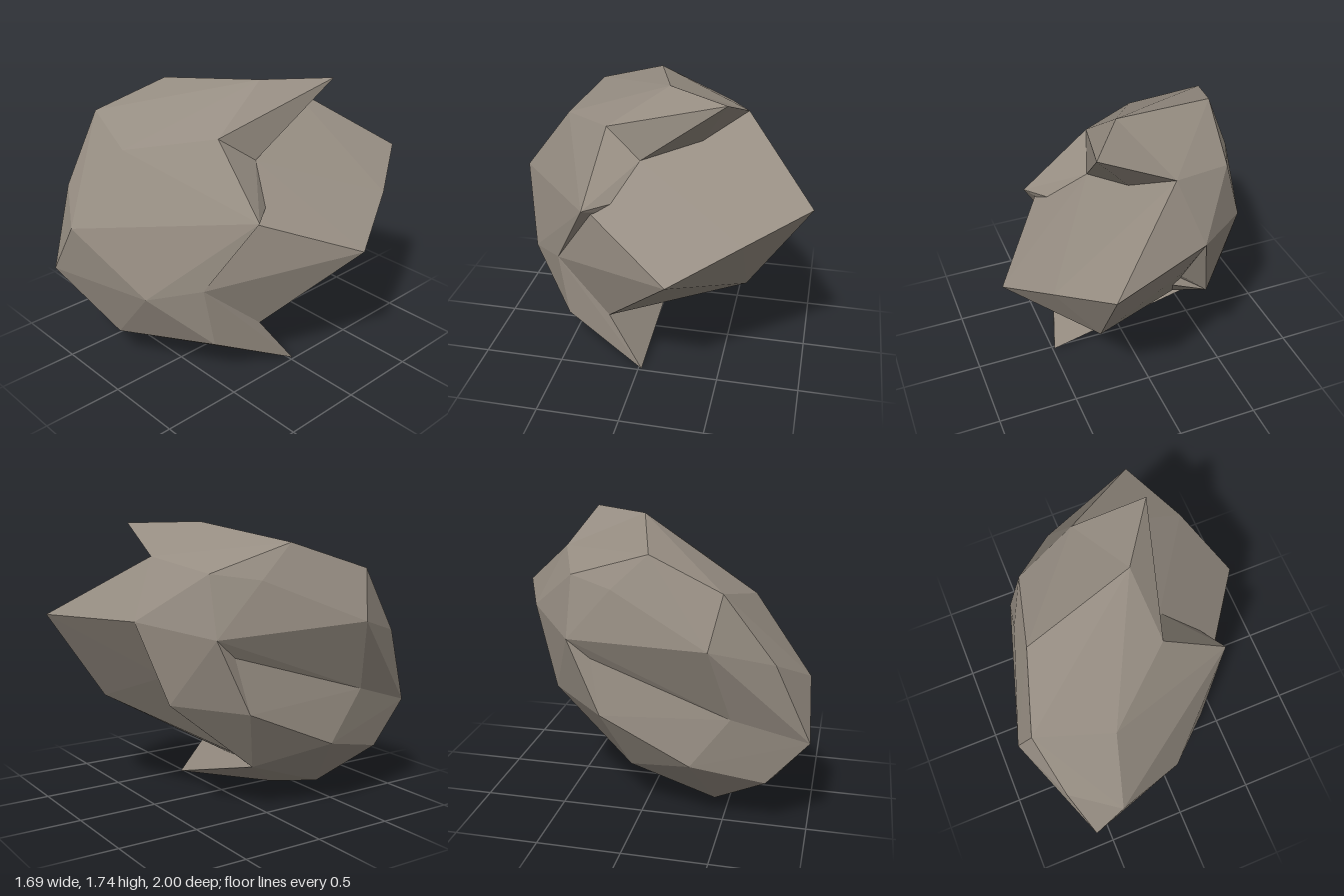
import * as THREE from 'three';
import { ConvexGeometry } from 'three/addons/geometries/ConvexGeometry.js';

// Corners of the boulder, from the crown down to the foot
const corners = {
  peak: [0.07, 1.735, -0.11], brow: [0.12, 1.47, 0.27], crownLeft: [-0.61, 1.635, 0.075],
  shoulder: [-0.76, 1.48, 0.515], cheek: [-0.85, 1.18, 0.45], cheekFront: [-0.69, 1.08, 0.8],
  faceTop: [-0.315, 1.375, 0.64], faceMid: [-0.41, 0.935, 0.975], faceSide: [0.527, 1.09, 0.325],
  notchIn: [0.2, 1.3, 0.045], notchBack: [0.06, 1.39, -0.3], crownBack: [-0.11, 1.55, -0.56],
  backUpper: [-0.225, 1.195, -0.735], backLeft: [-0.595, 1.11, -0.42], backDent: [-0.57, 1.02, -0.29],
  backLeftTop: [-0.5, 1.47, -0.41], leftTop: [-0.63, 1.43, -0.14], hornTip: [0.325, 1.727, -0.483],
  nose: [-0.6, 0.6, 1], frontMid: [0.04, 0.56, 0.785], frontRight: [0.3, 0.64, 0.555],
  leftDent: [-0.69, 0.74, 0.56], leftBack: [-0.633, 0.668, -0.219], backMid: [-0.334, 0.71, -0.575],
  wedgeBack: [0.413, 1.185, -1], wedgeTop: [0.645, 1.03, -0.635], wedgeTip: [0.842, 0.83, -0.235],
  wedgeLow: [0.377, 0.645, -0.64], wedgeRoot: [0.4, 1.09, 0.38],
  wedgeInner: [-0.193, 0.849, -0.53], wedgeFoot: [-0.41, 0.326, -0.076],
  chinRight: [0.32, 0.25, 0.49], chin: [-0.26, 0.2, 0.78], base: [-0.43, 0.105, 0.44],
  chinLeft: [-0.61, 0.33, 0.76], leftLow: [-0.7, 0.43, 0.33], backLow: [-0.453, 0.289, -0.076],
  baseBack: [-0.291, 0.11, 0.18], underNotch: [0.018, 0.24, 0.065],
  lowerNotch: [0.41, 0.325, 0.2], toeTip: [0.487, 0, -0.02],
};

// Overlapping convex chunks leave the notches and dents between them
const belt = ['nose', 'frontMid', 'frontRight', 'leftDent', 'backMid'];
const chunks = {
  crown: ['peak', 'brow', 'crownLeft', 'shoulder', 'cheek', 'faceTop', 'notchIn', 'crownBack',
    'backUpper', 'backLeft', 'backLeftTop', 'leftTop'],
  middleBody: ['brow', 'shoulder', 'cheek', 'cheekFront', 'faceTop', 'faceMid', 'faceSide', 'notchIn',
    'backUpper', 'backLeft', 'leftTop', ...belt],
  lowerBody: ['backDent', 'leftBack', 'chinRight', 'chin', 'base', 'chinLeft', 'leftLow', 'backLow',
    'baseBack', ...belt],
  backRidge: ['backLeft', 'backMid', 'leftBack', 'backDent'],
  overhangingHorn: ['peak', 'hornTip', 'brow', 'crownBack', 'notchIn', 'notchBack'],
  rearWedge: ['notchIn', 'notchBack', 'crownBack', 'backUpper', 'wedgeRoot', 'wedgeBack', 'wedgeTop',
    'wedgeTip', 'wedgeLow', 'wedgeInner', 'wedgeFoot', 'frontRight', 'lowerNotch', 'underNotch'],
  lowerToe: ['frontRight', 'lowerNotch', 'chinRight', 'toeTip', 'base', 'chin', 'baseBack',
    'backLow', 'underNotch'],
};

export function createModel() {
  const rock = new THREE.Group();
  rock.name = 'boulder';
  const stone = new THREE.MeshStandardMaterial({ color: 0x968d82 });
  stone.name = 'warm grey stone';
  for (const [name, keys] of Object.entries(chunks)) {
    const points = keys.map((k) => new THREE.Vector3(...corners[k]));
    const mesh = new THREE.Mesh(new ConvexGeometry(points), stone);
    mesh.name = name;
    rock.add(mesh);
  }
  return rock;
}
